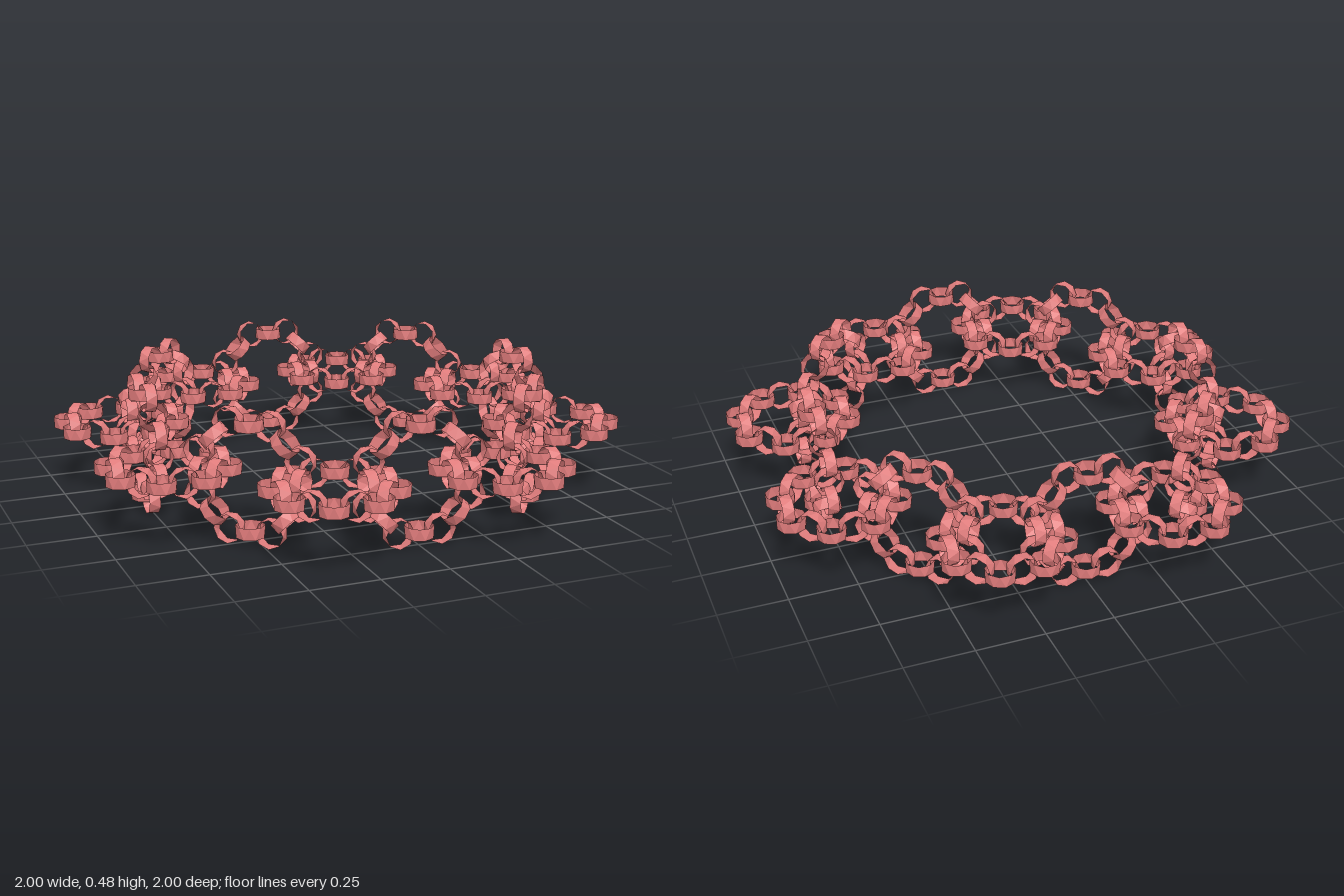
import * as THREE from 'three';

const SIDES = 8;
const LINK_RADIUS = 0.0525, LINK_WIDTH = 0.042;

// One link: an open faceted band, its top edge turned half a step from its bottom edge
function bandGeometry() {
  const geo = new THREE.CylinderGeometry(LINK_RADIUS, LINK_RADIUS, LINK_WIDTH, SIDES, 1, true);
  const pos = geo.attributes.position;
  const v = new THREE.Vector3(), up = new THREE.Vector3(0, 1, 0);
  for (let i = 0; i < pos.count; i++) {
    v.fromBufferAttribute(pos, i);
    if (v.y > 0) v.applyAxisAngle(up, -Math.PI / SIDES);
    pos.setXYZ(i, v.x, v.y, v.z);
  }
  geo.computeVertexNormals();
  return geo;
}

// Closed chain of 16 members: flat ones on the corners of an octagon,
// upright ones on the middles of its sides
function chain(name, apothem, makeMember) {
  const group = new THREE.Group();
  group.name = name;
  for (let i = 0; i < 16; i++) {
    const a = (i * Math.PI) / 8;
    const upright = i % 2 === 0;
    const r = upright ? apothem : apothem / Math.cos(Math.PI / 8);
    const member = makeMember(upright);
    member.position.set(r * Math.cos(a), 0, r * Math.sin(a));
    if (upright) member.rotation.set(0, -a, Math.PI / 2);
    group.add(member);
  }
  return group;
}

export function createModel() {
  const material = new THREE.MeshStandardMaterial({
    color: 0xe07c7c, flatShading: true, side: THREE.DoubleSide,
  });
  const band = bandGeometry();

  const link = (upright) => {
    const mesh = new THREE.Mesh(band, material);
    mesh.name = upright ? 'crossLink' : 'flatLink';
    return mesh;
  };
  // Each member of the large necklace is itself a small chain of links
  const smallChain = (upright) => chain(upright ? 'uprightChain' : 'flatChain', 0.19, link);

  const necklace = chain('necklace', 0.755, smallChain);
  necklace.position.y = 0.244;

  const model = new THREE.Group();
  model.name = 'chainOfChains';
  model.add(necklace);
  return model;
}
